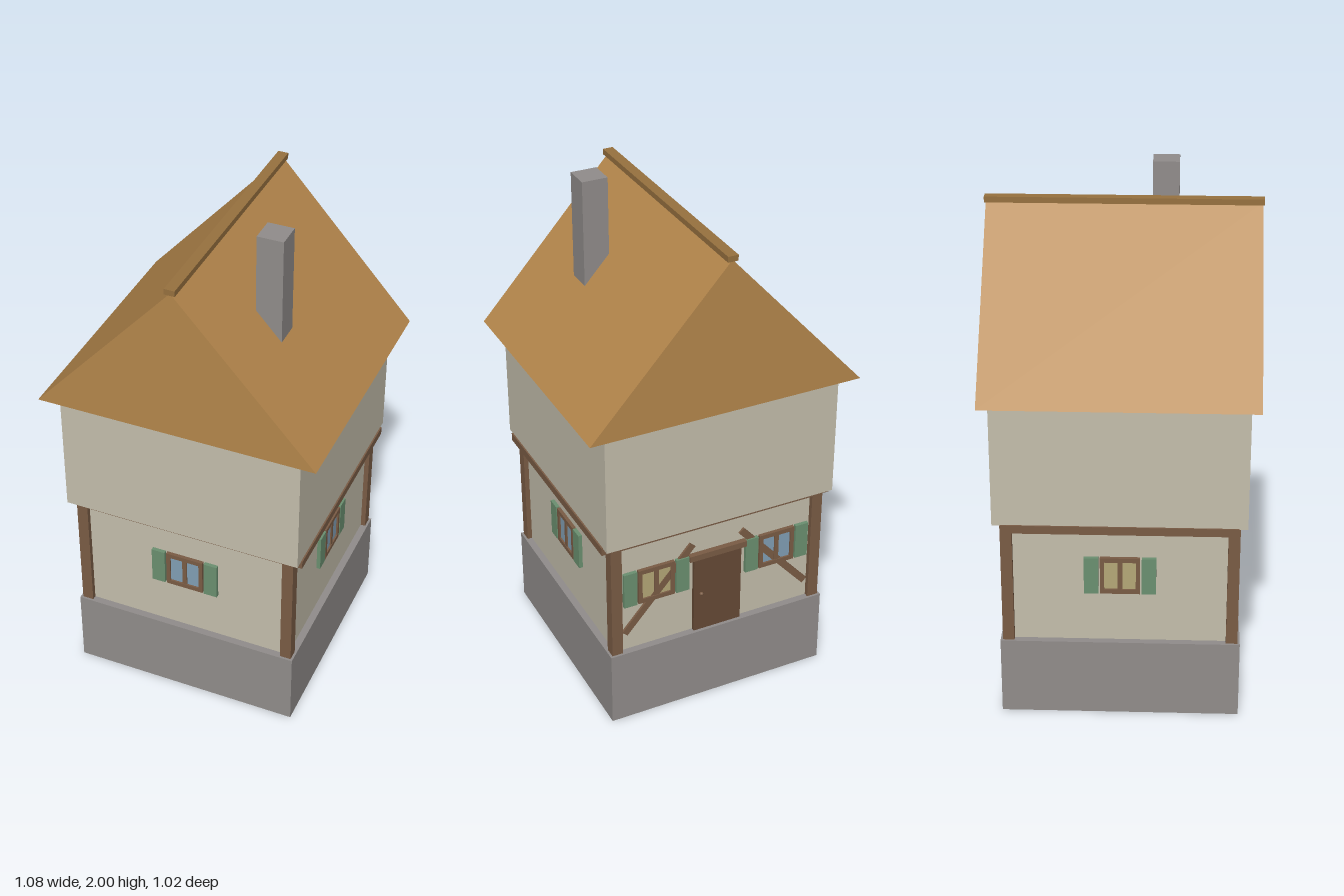
import * as THREE from 'three';

const mat = (color) => new THREE.MeshStandardMaterial({ color });
const stone = mat(0x918d8b);
const plaster = mat(0xc4beac);
const timber = mat(0x7a5c45);
const doorWood = mat(0x664a36);
const thatch = mat(0xb5874c);
const ridgeWood = mat(0x97713f);
const shutterGreen = mat(0x6b9070);
const blueGlass = mat(0x829fb5);
const warmGlass = mat(0xb5a878);

// Box given by its minimum and maximum corners
function box(parent, name, material, [x0, y0, z0], [x1, y1, z1]) {
  const mesh = new THREE.Mesh(new THREE.BoxGeometry(x1 - x0, y1 - y0, z1 - z0), material);
  mesh.position.set((x0 + x1) / 2, (y0 + y1) / 2, (z0 + z1) / 2);
  mesh.name = name;
  parent.add(mesh);
  return mesh;
}

// Shuttered two-pane window facing +z, its back at z = 0
function makeWindow(glass) {
  const g = new THREE.Group();
  g.name = 'window';
  box(g, 'windowPanes', glass, [-0.062, -0.06, -0.005], [0.062, 0.06, 0.007]);
  for (const s of [-1, 1]) {
    box(g, 'frameSide', timber, [s * 0.067 - 0.008, -0.075, -0.005], [s * 0.067 + 0.008, 0.075, 0.014]);
    box(g, 'frameRail', timber, [-0.06, s * 0.066 - 0.009, -0.005], [0.06, s * 0.066 + 0.009, 0.014]);
    box(g, 'shutter', shutterGreen, [s * 0.108 - 0.027, -0.075, -0.005], [s * 0.108 + 0.027, 0.075, 0.015]);
  }
  box(g, 'mullion', timber, [-0.009, -0.06, -0.005], [0.009, 0.06, 0.012]);
  return g;
}

export function createModel() {
  const house = new THREE.Group();
  house.name = 'house';

  // Stone base and the two storeys
  box(house, 'stoneBase', stone, [-0.453, 0, -0.453], [0.453, 0.31, 0.453]);
  box(house, 'groundFloorWalls', plaster, [-0.425, 0.31, -0.425], [0.425, 0.81, 0.425]);
  box(house, 'upperFloorWalls', plaster, [-0.47, 0.812, -0.47], [0.47, 1.31, 0.47]);

  // Corner posts and the beams that carry the upper floor
  for (const s of [-1, 1]) {
    for (const t of [-1, 1]) {
      box(house, 'cornerPost', timber,
        [s * 0.422 - 0.022, 0.31, t * 0.422 - 0.022], [s * 0.422 + 0.022, 0.79, t * 0.422 + 0.022]);
    }
    box(house, 'sideBeam', timber, [s * 0.455 - 0.021, 0.783, -0.437], [s * 0.455 + 0.021, 0.815, 0.437]);
    box(house, 'crossBeam', timber, [-0.445, 0.786, s * 0.425 - 0.02], [0.445, 0.812, s * 0.425 + 0.02]);
  }

  // Windows: one on the front and each side, two on the back
  const windows = [
    [0, 0.425, 0, blueGlass],
    [0.425, 0, Math.PI / 2, blueGlass],
    [-0.425, 0, -Math.PI / 2, warmGlass],
    [0.255, -0.425, Math.PI, warmGlass],
    [-0.255, -0.425, Math.PI, blueGlass],
  ];
  for (const [x, z, turn, glass] of windows) {
    const w = makeWindow(glass);
    w.position.set(x, 0.59, z);
    w.rotation.y = turn;
    house.add(w);
  }

  // Diagonal braces behind the back windows
  for (const s of [-1, 1]) {
    const brace = new THREE.Mesh(new THREE.BoxGeometry(0.43, 0.028, 0.02), timber);
    brace.name = 'diagonalBrace';
    brace.position.set(s * 0.245, 0.55, -0.424);
    brace.rotation.z = -s * 0.85;
    house.add(brace);
  }

  // Back door with lintel and knob
  box(house, 'door', doorWood, [-0.1, 0.31, -0.44], [0.1, 0.643, -0.42]);
  box(house, 'doorLintel', timber, [-0.12, 0.643, -0.447], [0.12, 0.668, -0.42]);
  const knob = new THREE.Mesh(new THREE.SphereGeometry(0.008, 10, 8), timber);
  knob.name = 'doorKnob';
  knob.position.set(0.07, 0.48, -0.444);
  house.add(knob);

  // Gabled roof with its ridge board
  const gable = new THREE.Shape([
    new THREE.Vector2(-0.54, 1.305), new THREE.Vector2(0.54, 1.305), new THREE.Vector2(0, 1.905),
  ]);
  const roofGeometry = new THREE.ExtrudeGeometry(gable, { depth: 1.01, bevelEnabled: false });
  roofGeometry.translate(0, 0, -0.505);
  const roof = new THREE.Mesh(roofGeometry, thatch);
  roof.name = 'roof';
  house.add(roof);
  box(house, 'ridgeBoard', ridgeWood, [-0.02, 1.9, -0.51], [0.02, 1.922, 0.51]);

  // Chimney
  box(house, 'chimney', stone, [0.185, 1.5, 0.1], [0.285, 2, 0.2]);

  return house;
}
